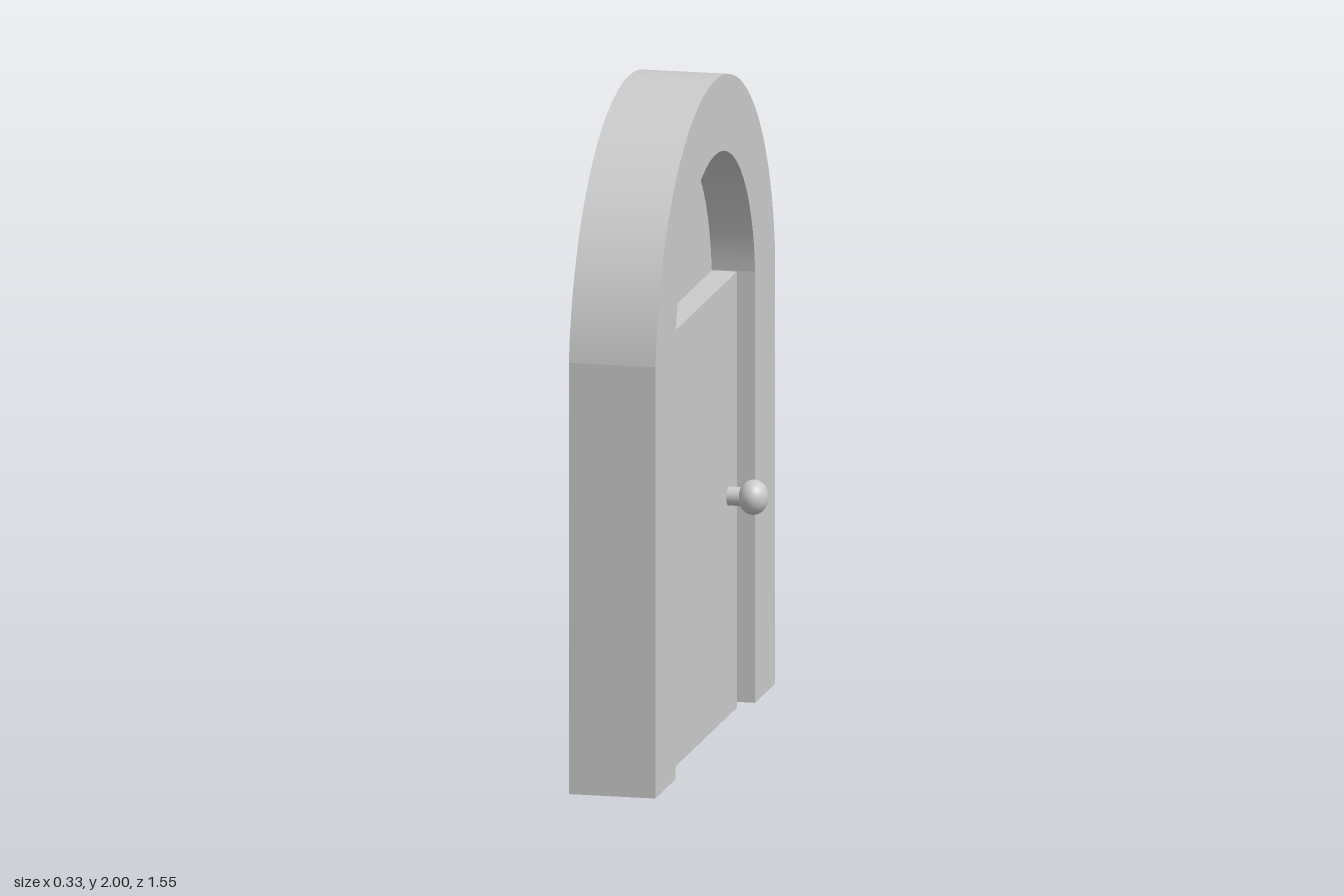
import * as THREE from 'three';
import { toCreasedNormals } from 'three/addons/utils/BufferGeometryUtils.js';

const MID = -0.035; // middle of the wall thickness along x
const SPRING = 1.31; // height where the arches begin

// Points of an arch from +half to -half, as a circular arc of the given top height
function archPoints(half, top, segments = 48) {
  const rise = top - SPRING;
  const r = (half * half + rise * rise) / (2 * rise);
  const cy = top - r;
  const a = Math.atan2(SPRING - cy, half);
  return Array.from({ length: segments + 1 }, (_, i) => {
    const t = a + (Math.PI - 2 * a) * (i / segments);
    return new THREE.Vector2(r * Math.cos(t), cy + r * Math.sin(t));
  });
}

export function createModel() {
  const group = new THREE.Group();
  const material = new THREE.MeshStandardMaterial({ color: 0xcccccc });

  const add = (name, geometry, x, y, z) => {
    const mesh = new THREE.Mesh(geometry, material);
    mesh.name = name;
    mesh.position.set(x, y, z);
    group.add(mesh);
  };

  // Extrude an outline drawn in the z-y plane, centred on the wall thickness
  const addSlab = (name, points, depth) => {
    const geometry = new THREE.ExtrudeGeometry(new THREE.Shape(points), { depth, bevelEnabled: false });
    geometry.translate(0, 0, -depth / 2).rotateY(Math.PI / 2);
    add(name, toCreasedNormals(geometry, 0.09), MID, 0, 0);
  };

  // Arched surround, open at the bottom
  const foot = 0.015, outer = 0.777, inner = 0.518;
  addSlab('archedFrame', [
    new THREE.Vector2(outer, foot),
    ...archPoints(outer, 2),
    new THREE.Vector2(-outer, foot),
    new THREE.Vector2(-inner, foot),
    ...archPoints(inner, 1.775).reverse(),
    new THREE.Vector2(inner, foot),
  ], 0.26);

  // Door leaf and the thin panel filling the arch above it
  add('doorLeaf', new THREE.BoxGeometry(0.155, SPRING, 1.014), MID, SPRING / 2, 0);
  addSlab('archPanel', archPoints(0.502, 1.763), 0.006);

  // Knob on a short stem
  const stem = new THREE.CylinderGeometry(0.028, 0.028, 0.07, 24).rotateZ(Math.PI / 2);
  add('knobStem', stem, 0.07, 0.66, -0.4);
  const knob = new THREE.SphereGeometry(0.052, 32, 20).rotateZ(Math.PI / 2).scale(0.85, 1, 1);
  add('knob', knob, 0.117, 0.66, -0.4);

  return group;
}
